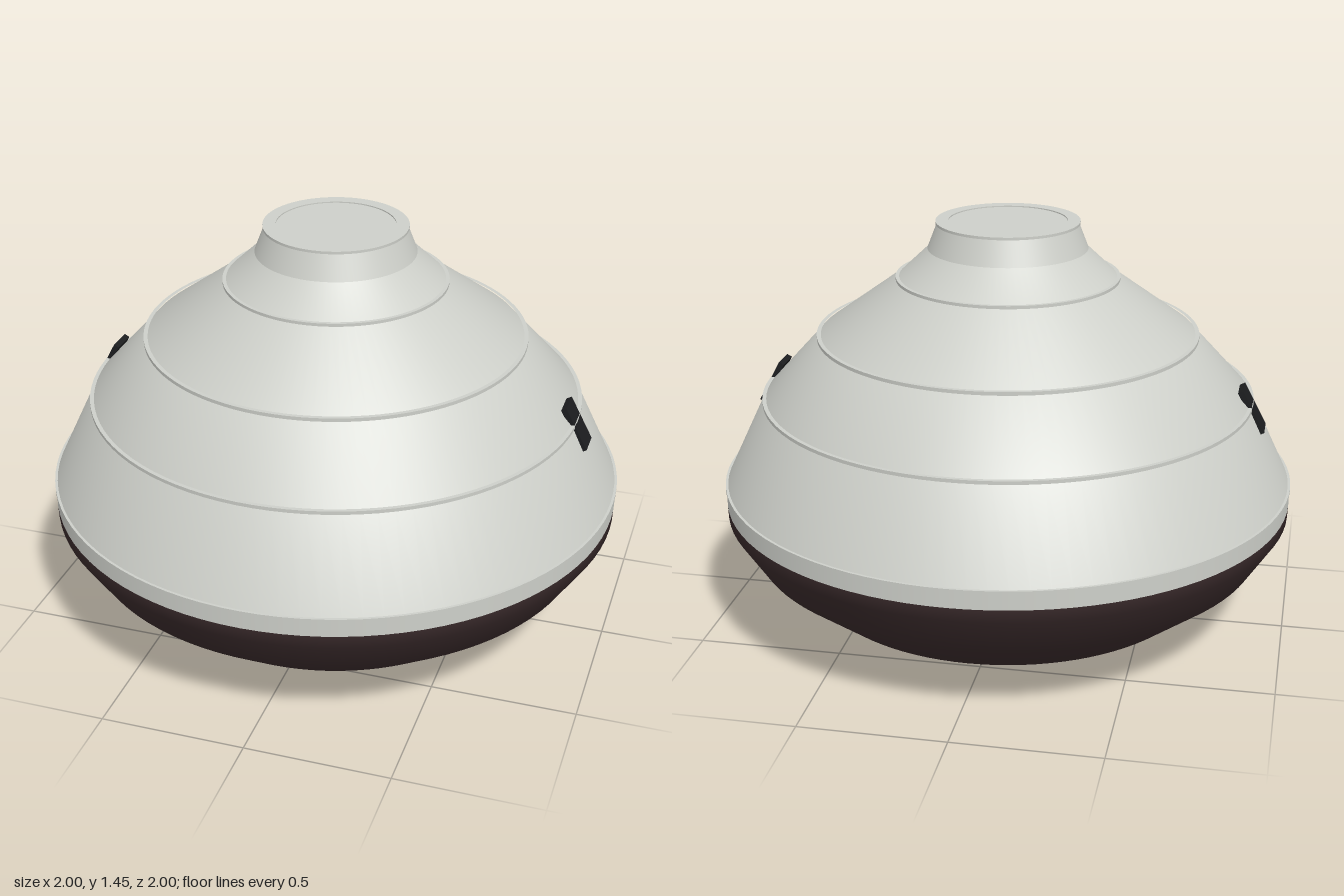
import * as THREE from 'three';

const hull = new THREE.MeshStandardMaterial({ color: 0xcdcfc9 });
hull.name = 'pale grey hull';
const shield = new THREE.MeshStandardMaterial({ color: 0x38292a });
shield.name = 'dark brown heat shield';
const glass = new THREE.MeshStandardMaterial({ color: 0x1c1d1f });
glass.name = 'black window';

const SEGMENTS = 96;

export function createModel() {
  const group = new THREE.Group();

  const add = (name, geometry, material) => {
    const mesh = new THREE.Mesh(geometry, material);
    mesh.name = name;
    group.add(mesh);
    return mesh;
  };
  // Revolve a profile of [radius, height] points, listed from bottom to top
  const lathe = (name, points, material) =>
    add(name, new THREE.LatheGeometry(points.map(([r, y]) => new THREE.Vector2(r, y)), SEGMENTS), material);

  // Rounded base
  lathe('heatShield', [[0, 0.005], [0.42, 0.025], [0.7, 0.125], [0.9, 0.283], [0.995, 0.43], [0.997, 0.475]], shield);

  // Straight lower band, then the tapering body
  lathe('lowerBand', [[0.997, 0.475], [0.997, 0.535]], hull);
  lathe('body', [[0.994, 0.535], [0.85, 0.838], [0.65, 1.057], [0.38, 1.253], [0.27, 1.357]], hull);

  // Thin raised seams around the body
  for (const [radius, y] of [[1.0, 0.535], [0.858, 0.838], [0.662, 1.057], [0.386, 1.253]]) {
    const r = radius - 0.014;
    lathe('seam', [[r, y - 0.006], [radius, y - 0.006]], hull);
    lathe('seam', [[radius, y - 0.006], [radius, y + 0.006]], hull);
    lathe('seam', [[radius, y + 0.006], [r, y + 0.006]], hull);
  }

  // Docking neck with its rim and flat hatch
  lathe('neck', [[0.275, 1.355], [0.241, 1.442]], hull);
  lathe('rimUnderside', [[0.24, 1.441], [0.247, 1.441]], hull);
  lathe('rimEdge', [[0.247, 1.441], [0.247, 1.45]], hull);
  lathe('rimTop', [[0.247, 1.45], [0.203, 1.45]], hull);
  lathe('rimInside', [[0.203, 1.45], [0.203, 1.446]], hull);
  lathe('hatch', [[0.203, 1.446], [0, 1.446]], hull);

  // One window on each side, leaning with the hull
  for (const side of [-1, 1]) {
    const window = add('sideWindow', new THREE.BoxGeometry(0.02, 0.165, 0.095), glass);
    window.position.set(side * 0.854, 0.825, 0);
    window.rotation.z = side * 0.49;
  }

  return group;
}
